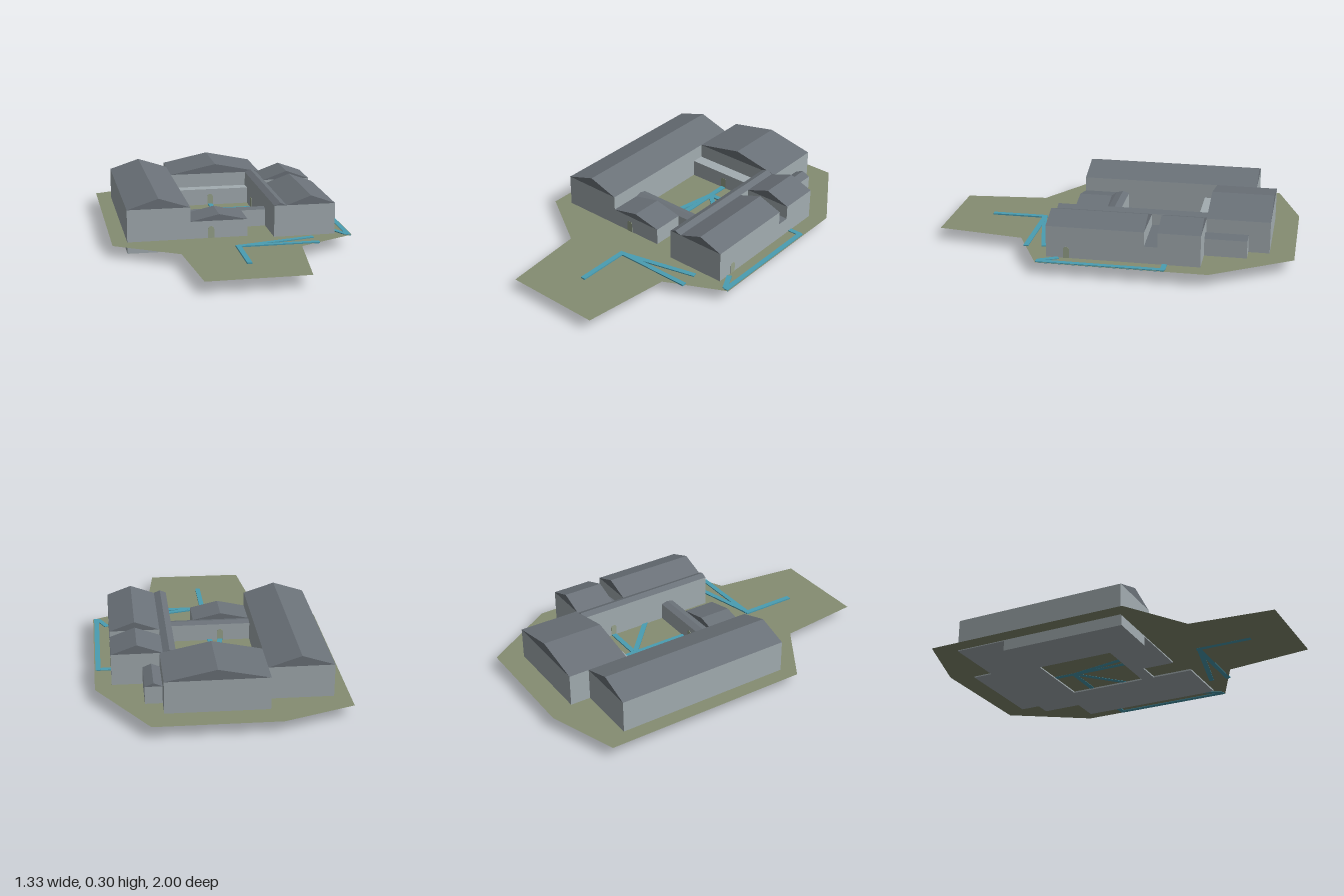
import * as THREE from 'three';

const mat = (name, color) => {
  const m = new THREE.MeshStandardMaterial({ color });
  m.name = name;
  return m;
};

export function createModel() {
  const model = new THREE.Group();
  model.name = 'courtyardBuilding';
  const wallMat = mat('pale grey wall', 0xa3adb1);
  const roofMat = mat('slate grey roof', 0x6b7279);
  const groundMat = mat('olive ground', 0x858d72);
  groundMat.side = THREE.DoubleSide;
  const pathMat = mat('blue path', 0x4a9db2);
  const doorMat = mat('grey green door', 0x98a38c);
  const FLOOR = 0.058;

  const add = (parent, name, geometry, material) => {
    const mesh = new THREE.Mesh(geometry, material);
    mesh.name = name;
    parent.add(mesh);
    return mesh;
  };

  const box = (parent, name, [x0, x1], [y0, y1], [z0, z1], material) => {
    const mesh = add(parent, name, new THREE.BoxGeometry(x1 - x0, y1 - y0, z1 - z0), material);
    mesh.position.set((x0 + x1) / 2, (y0 + y1) / 2, (z0 + z1) / 2);
    return mesh;
  };

  // Triangular roof; heights are [left eave, peak], peakAt is 0..1 across the span
  const roof = (parent, [x0, x1], [z0, z1], eave, ridge, axis = 'z', peakAt = 0.5) => {
    const span = axis === 'z' ? x1 - x0 : z1 - z0;
    const length = axis === 'z' ? z1 - z0 : x1 - x0;
    const shape = new THREE.Shape([
      new THREE.Vector2(-span / 2, 0),
      new THREE.Vector2(span / 2, 0),
      new THREE.Vector2(span * (peakAt - 0.5), ridge - eave),
    ]);
    const geometry = new THREE.ExtrudeGeometry(shape, { depth: length, bevelEnabled: false });
    geometry.translate(0, 0, -length / 2);
    if (axis === 'x') geometry.rotateY(Math.PI / 2);
    const mesh = add(parent, 'roof', geometry, roofMat);
    mesh.position.set((x0 + x1) / 2, eave, (z0 + z1) / 2);
  };

  const block = (name, xs, zs, eave, ridge, axis, peakAt) => {
    const group = new THREE.Group();
    group.name = name;
    box(group, 'walls', xs, [FLOOR, eave], zs, wallMat);
    if (ridge) roof(group, xs, zs, eave, ridge, axis, peakAt);
    model.add(group);
  };

  // Gently tilted plot of land
  const outline = [
    [-0.28, -1], [0.39, -1], [0.665, -0.57], [0.665, 0.35], [0.34, 0.51],
    [0.275, 1], [-0.275, 1], [-0.32, 0.53], [-0.665, 0.31], [-0.665, -0.865],
  ].map(([x, z]) => new THREE.Vector2(x, -z));
  const ground = new THREE.ShapeGeometry(new THREE.Shape(outline)).rotateX(-Math.PI / 2);
  const pos = ground.attributes.position;
  for (let i = 0; i < pos.count; i++) pos.setY(i, 0.066 + 0.005 * pos.getX(i));
  ground.computeVertexNormals();
  add(model, 'ground', ground, groundMat);

  // Main wings around the courtyard
  block('rightWing', [-0.58, -0.23], [-0.75, 0.26], 0.245, 0.302);
  block('rearHall', [-0.23, 0.318], [-0.865, -0.52], 0.245, 0.302);
  block('leftWingFront', [0.3, 0.575], [-0.22, 0.31], 0.245, 0.295);
  block('leftWingRear', [0.3, 0.575], [-0.52, -0.292], 0.245, 0.295);
  block('leftCorridor', [0.23, 0.3], [-0.52, 0.31], 0.245, 0.26);

  // Lower linking parts
  block('leftWingLink', [0.3, 0.575], [-0.292, -0.22], 0.165, 0.182, 'z', 0);
  block('rearAnnex', [0.318, 0.41], [-0.75, -0.52], 0.165, 0.185);
  block('gallery', [-0.23, 0.23], [-0.52, -0.45], 0.163);
  block('entranceHall', [-0.23, 0.09], [0.075, 0.26], 0.163, 0.199);
  block('frontCorridor', [-0.23, 0.23], [0, 0.075], 0.163, 0.173, 'x');

  // Basement below the right wing
  box(model, 'basement', [-0.58, -0.3], [0, FLOOR], [-0.45, 0.265], wallMat);

  // Arched doors, thin plates on the walls
  const arch = new THREE.Shape();
  arch.moveTo(-0.017, 0);
  arch.lineTo(0.017, 0);
  arch.lineTo(0.017, 0.05);
  arch.absarc(0, 0.05, 0.017, 0, Math.PI);
  arch.closePath();
  const doorGeometry = new THREE.ExtrudeGeometry(arch, { depth: 0.002, bevelEnabled: false, curveSegments: 6 });
  const doors = [
    ['entranceDoor', -0.115, 0.26, 0],
    ['leftWingDoor', 0.575, 0.2, Math.PI / 2],
    ['galleryDoor', 0, -0.45, 0],
    ['courtyardFrontDoor', -0.06, 0, Math.PI],
    ['courtyardLeftDoor', 0.23, -0.33, -Math.PI / 2],
  ];
  for (const [name, x, z, turn] of doors) {
    const door = add(model, name, doorGeometry, doorMat);
    door.position.set(x, 0.066, z);
    door.rotation.y = turn;
  }

  // Straight path strips: x0, z0, x1, z1
  const paths = [
    [0, -0.45, 0, 0], [0, -0.32, -0.06, 0], [0, -0.33, 0.65, -0.33],
    [0.01, -0.32, 0.24, -0.11], [0.645, -0.34, 0.645, 0.35], [0.585, 0.24, 0.635, 0.34],
    [0, 0.46, 0.44, 0.355], [0, 0.455, 0.45, 0.455], [0, 0.445, 0, 0.765],
  ];
  paths.forEach(([x0, z0, x1, z1], i) => {
    const length = Math.hypot(x1 - x0, z1 - z0);
    const strip = add(model, 'path', new THREE.BoxGeometry(length, 0.008, 0.028), pathMat);
    strip.position.set((x0 + x1) / 2, 0.069 + i * 0.0001, (z0 + z1) / 2);
    strip.rotation.y = -Math.atan2(z1 - z0, x1 - x0);
  });

  return model;
}
